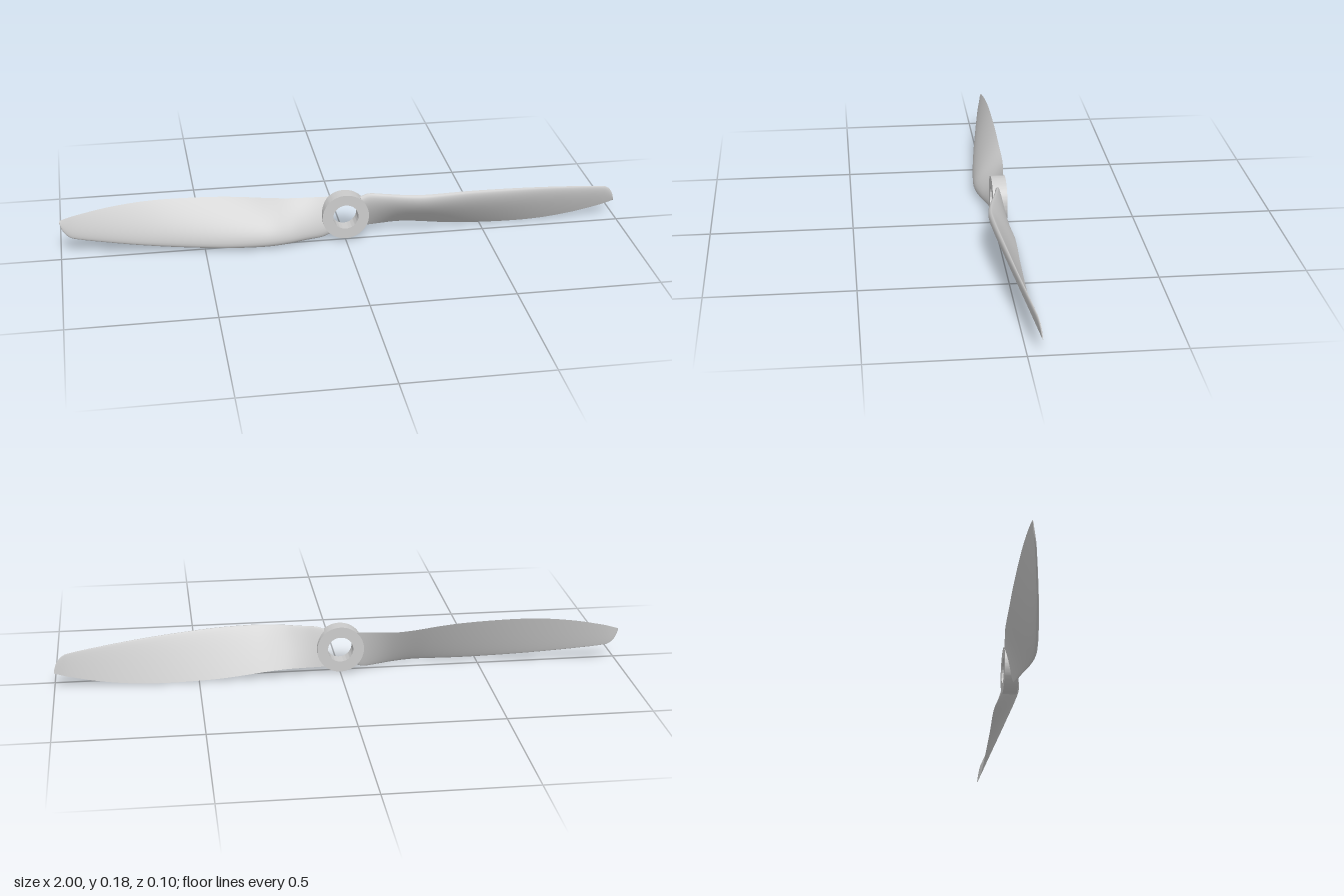
import * as THREE from 'three';
import { toCreasedNormals } from 'three/addons/utils/BufferGeometryUtils.js';

const HUB_Y = 0.091;

// Blade stations: x, leading edge y and z, trailing edge y and z, thickness
const STATIONS = [
  [0.055, 0.160, -0.008, 0.030, -0.040, 0.018],
  [0.085, 0.170, -0.006, 0.030, -0.042, 0.019],
  [0.14, 0.170, 0.008, 0.031, -0.047, 0.021],
  [0.20, 0.170, 0.026, 0.031, -0.052, 0.024],
  [0.27, 0.170, 0.038, 0.025, -0.053, 0.026],
  [0.35, 0.170, 0.036, 0.015, -0.052, 0.024],
  [0.45, 0.168, 0.028, 0.006, -0.052, 0.021],
  [0.60, 0.159, 0.012, 0.001, -0.051, 0.017],
  [0.72, 0.149, -0.002, 0.004, -0.050, 0.013],
  [0.84, 0.136, -0.018, 0.018, -0.049, 0.010],
  [0.94, 0.123, -0.032, 0.038, -0.048, 0.007],
  [0.97, 0.114, -0.038, 0.046, -0.048, 0.006],
  [0.99, 0.092, -0.043, 0.052, -0.048, 0.004],
  [1.00, 0.062, -0.046, 0.055, -0.048, 0.002],
];

// Airfoil thickness distribution, peaking at 1
const airfoil = c =>
  10 * (0.2969 * Math.sqrt(c) - 0.126 * c - 0.3516 * c ** 2 + 0.2843 * c ** 3 - 0.1036 * c ** 4);

// Lofts airfoil sections along the blade, domed in front and nearly flat behind
function bladeGeometry() {
  const curve = pick => new THREE.CatmullRomCurve3(
    STATIONS.map(s => new THREE.Vector3(...pick(s))), false, 'catmullrom', 0.5);
  const leading = curve(s => [s[0], s[1], s[2]]);
  const trailing = curve(s => [s[0], s[3], s[4]]);
  const thickness = curve(s => [s[0], s[5], 0]);
  const rows = (STATIONS.length - 1) * 5, half = 16, cols = 2 * half;
  const pos = [], idx = [];

  const addSection = t => {
    const L = leading.getPoint(t), T = trailing.getPoint(t), th = thickness.getPoint(t).y;
    const dy = T.y - L.y, dz = T.z - L.z, len = Math.hypot(dy, dz);
    for (let j = 0; j <= cols; j++) {
      const c = 0.5 * (1 + Math.cos(Math.PI * j / half)); // 1 at trailing edge, 0 at leading
      const n = airfoil(c) * th * (j < half ? 1 : -0.15) / len;
      pos.push(L.x, L.y + dy * c + dz * n - HUB_Y, L.z + dz * c - dy * n);
    }
  };

  for (let i = 0; i <= rows; i++) addSection(i / rows);
  for (let i = 0; i < rows; i++) {
    for (let j = 0; j < cols; j++) {
      const a = i * (cols + 1) + j, b = a + cols + 1;
      idx.push(a, b, a + 1, b, b + 1, a + 1);
    }
  }

  // Closed ends at the root and tip
  for (const t of [0, 1]) {
    const base = pos.length / 3;
    addSection(t);
    for (let j = 0; j < half; j++) {
      const a = base + j, b = a + 1, d = base + cols - j, e = d - 1;
      if (t === 0) idx.push(a, b, d, b, e, d);
      else idx.push(a, d, b, b, d, e);
    }
  }
  const g = new THREE.BufferGeometry();
  g.setAttribute('position', new THREE.Float32BufferAttribute(pos, 3));
  g.setIndex(idx);
  g.computeVertexNormals();
  return g;
}

// Ring with a shaft hole
function hubGeometry() {
  const ring = new THREE.Shape().absarc(0, 0, 0.083, 0, Math.PI * 2, false);
  ring.holes.push(new THREE.Path().absarc(0, 0, 0.045, 0, Math.PI * 2, true));
  const g = new THREE.ExtrudeGeometry(ring, { depth: 0.05, bevelEnabled: false, curveSegments: 48 });
  g.translate(0, 0, -0.04);
  return toCreasedNormals(g, Math.PI / 6);
}

export function createModel() {
  const model = new THREE.Group();
  model.name = 'propeller';
  const material = new THREE.MeshStandardMaterial({ color: 0xcccccc });
  const add = (name, geometry) => {
    const mesh = new THREE.Mesh(geometry, material);
    mesh.name = name;
    mesh.position.y = HUB_Y;
    model.add(mesh);
    return mesh;
  };

  add('hub', hubGeometry());

  // Two identical blades, half a turn apart
  const blade = bladeGeometry();
  add('leftBlade', blade);
  add('rightBlade', blade).rotation.z = Math.PI;

  return model;
}
